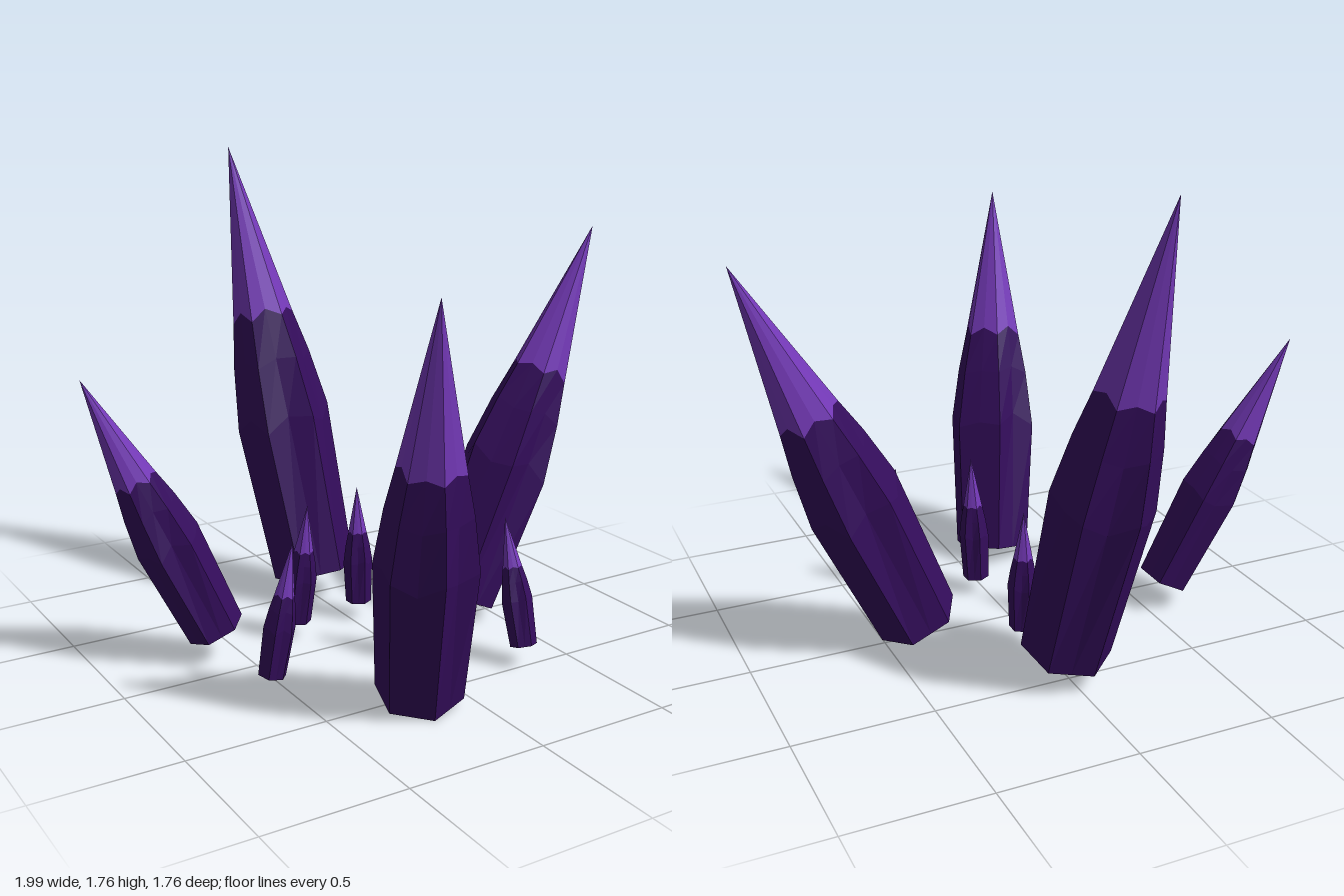
import * as THREE from 'three';

const SIDES = 6, POINTS = SIDES * 2;
const bodyMat = new THREE.MeshStandardMaterial({ color: 0x340d5c, flatShading: true });
bodyMat.name = 'dark purple';
const tipMat = new THREE.MeshStandardMaterial({ color: 0x7439b8, flatShading: true });
tipMat.name = 'bright violet';

// One ring of a crystal: six corners with a point in the middle of each face
function ring(y, r, phase, wave, lift, groove) {
  const pts = [];
  for (let i = 0; i < POINTS; i++) {
    const a = phase + (i / POINTS) * Math.PI * 2;
    const corner = i % 2 === 0;
    const notch = i % 6 === 3 ? groove : 1; // two faces carry a shallow groove
    const rad = corner ? r : r * Math.cos(Math.PI / SIDES) * notch;
    const dy = Math.sin(i * 2.4 + phase * 5) * lift + (corner ? -wave : wave);
    pts.push(new THREE.Vector3(Math.cos(a) * rad, y + dy, Math.sin(a) * rad));
  }
  return pts;
}

// Flat-faced skin over successive rings
function skin(rings, capBottom) {
  const pos = [];
  const tri = (...pts) => pts.forEach(p => pos.push(p.x, p.y, p.z));
  for (let k = 0; k < rings.length - 1; k++) {
    for (let i = 0; i < POINTS; i++) {
      const j = (i + 1) % POINTS, lo = rings[k], up = rings[k + 1];
      tri(lo[i], up[i], lo[j]);
      if (up[i].distanceTo(up[j]) > 1e-6) tri(lo[j], up[i], up[j]);
    }
  }
  if (capBottom) {
    const c = rings[0].reduce((s, p) => s.add(p), new THREE.Vector3()).divideScalar(POINTS);
    for (let i = 0; i < POINTS; i++) tri(c, rings[0][i], rings[0][(i + 1) % POINTS]);
  }
  const g = new THREE.BufferGeometry();
  g.setAttribute('position', new THREE.Float32BufferAttribute(pos, 3));
  g.computeVertexNormals();
  return g;
}

// Crystal from base centre to tip; r is the widest radius
function crystal(name, base, tip, r, phaseDeg) {
  const b = new THREE.Vector3(...base), axis = new THREE.Vector3(...tip).sub(b);
  const h = axis.length(), phase = THREE.MathUtils.degToRad(phaseDeg);
  const foot = ring(0, r * 0.87, phase, 0, 0, 1);
  const belly = ring(h * 0.36, r, phase, 0, h * 0.02, 0.86);
  const shoulder = ring(h * 0.5, r * 0.83, phase, 0, h * 0.01, 0.95);
  const neck = ring(h * 0.61, r * 0.65, phase, h * 0.009, h * 0.004, 1);
  const point = Array.from({ length: POINTS }, () => new THREE.Vector3(0, h, 0));

  const group = new THREE.Group();
  group.name = name;
  const body = new THREE.Mesh(skin([foot, belly, shoulder, neck], true), bodyMat);
  body.name = name + 'Body';
  const top = new THREE.Mesh(skin([neck, point], false), tipMat);
  top.name = name + 'Tip';
  group.add(body, top);
  group.position.copy(b);
  group.quaternion.setFromUnitVectors(new THREE.Vector3(0, 1, 0), axis.normalize());
  return group;
}

export function createModel() {
  const model = new THREE.Group();
  model.name = 'crystalCluster';
  // name, base centre, tip, widest radius, turn
  const crystals = [
    ['backCrystal', [0, 0.11, -0.475], [-0.14, 1.76, -0.88], 0.185, 18],
    ['leftCrystal', [0.375, 0.085, -0.015], [0.99, 1.47, -0.02], 0.175, 0],
    ['frontCrystal', [-0.165, 0.04, 0.54], [-0.325, 1.44, 0.88], 0.175, -17],
    ['rightCrystal', [-0.59, 0.11, -0.14], [-1, 1.05, -0.28], 0.12, 12],
    ['smallBackRightCrystal', [-0.25, 0.065, -0.155], [-0.225, 0.52, -0.115], 0.057, 20],
    ['smallBackCrystal', [0.04, 0.065, -0.2], [0.04, 0.52, -0.21], 0.055, 30],
    ['smallFrontCrystal', [0.035, 0.065, 0.24], [0.045, 0.555, 0.255], 0.057, 30],
    ['smallRightCrystal', [-0.56, 0.075, 0.235], [-0.49, 0.545, 0.265], 0.057, 10],
    ['smallLeftCrystal', [0.315, 0.075, 0.485], [0.31, 0.52, 0.365], 0.055, 30],
  ];
  for (const c of crystals) model.add(crystal(...c));
  return model;
}
